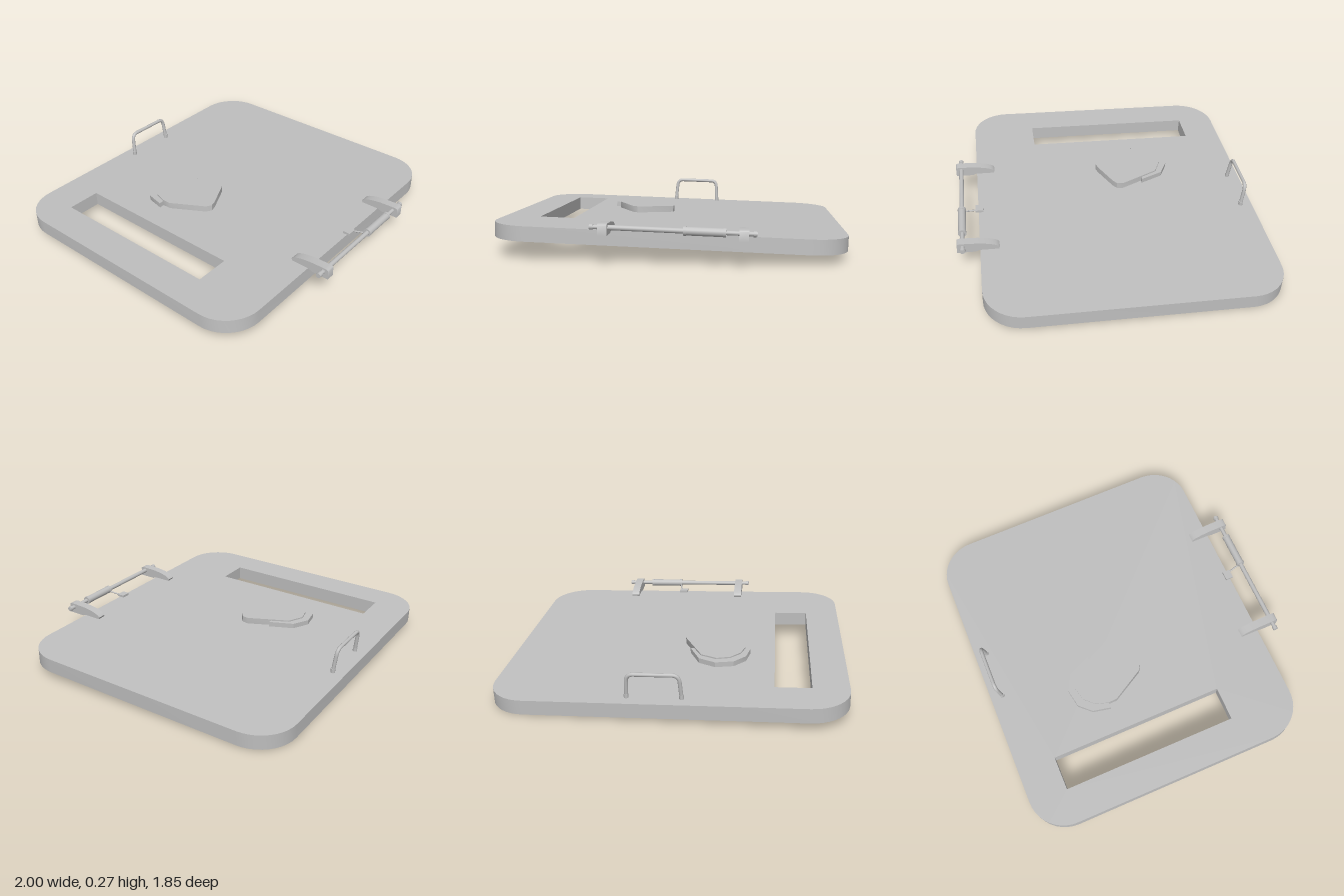
import * as THREE from 'three';
import { toCreasedNormals } from 'three/addons/utils/BufferGeometryUtils.js';

export function createModel() {
  const model = new THREE.Group();
  model.name = 'hatchCover';
  const grey = new THREE.MeshStandardMaterial({ color: 0xc0c0c0 });
  grey.name = 'grey metal';

  // Tilted frame: origin in the middle of the plate's top face
  const hatch = new THREE.Group();
  hatch.name = 'hatch';
  const ax = new THREE.Vector3(1, -0.0286, 0.026).normalize();
  const ay = new THREE.Vector3(0.0295, 1, -0.034).normalize();
  const az = new THREE.Vector3().crossVectors(ax, ay).normalize();
  ax.crossVectors(ay, az);
  hatch.quaternion.setFromRotationMatrix(new THREE.Matrix4().makeBasis(ax, ay, az));
  hatch.position.set(0, 0.142, -0.065);
  model.add(hatch);

  const add = (name, geometry, x = 0, y = 0, z = 0) => {
    const mesh = new THREE.Mesh(geometry, grey);
    mesh.name = name;
    mesh.position.set(x, y, z);
    hatch.add(mesh);
    return mesh;
  };
  // Flat slab: shape drawn in (x, -z), rising from y0 by h
  const slab = (shape, y0, h, segments = 4) => {
    const g = new THREE.ExtrudeGeometry(shape, { depth: h, bevelEnabled: false, curveSegments: segments });
    g.rotateX(-Math.PI / 2);
    g.translate(0, y0, 0);
    return toCreasedNormals(g, 0.6);
  };
  const polygon = (points) => new THREE.Shape(points.map(([x, z]) => new THREE.Vector2(x, -z)));
  // Plan positions turned into the tilted frame
  const local = (points) => points.map(([x, z]) => [x + (z + 0.065) * 0.026, z + 0.065 - x * 0.026]);

  // Plate with rounded corners and a long slot
  const W = 0.984, D = 0.845, R = 0.22;
  const outline = new THREE.Shape();
  outline.absarc(W - R, D - R, R, 0, Math.PI / 2);
  outline.absarc(R - W, D - R, R, Math.PI / 2, Math.PI);
  outline.absarc(R - W, R - D, R, Math.PI, Math.PI * 1.5);
  outline.absarc(W - R, R - D, R, Math.PI * 1.5, Math.PI * 2);
  outline.closePath();
  outline.holes.push(polygon([[-0.782, -0.615], [-0.58, -0.615], [-0.58, 0.45], [-0.782, 0.45]]));
  add('plate', slab(outline, -0.084, 0.084, 5));

  // Cover flap and the curved rim around its head
  add('coverFlap', slab(polygon(local([
    [-0.40, -0.267], [-0.374, -0.342], [-0.315, -0.40], [-0.235, -0.417], [-0.144, -0.369],
    [-0.037, -0.134], [-0.043, -0.096], [-0.07, -0.075], [-0.224, -0.005], [-0.262, 0.005],
    [-0.294, -0.016], [-0.40, -0.214]])), 0, 0.038));
  add('coverRim', slab(polygon(local([
    [-0.432, -0.267], [-0.406, -0.374], [-0.336, -0.444], [-0.23, -0.46], [-0.133, -0.406],
    [-0.075, -0.267], [-0.096, -0.267], [-0.144, -0.369], [-0.235, -0.417], [-0.315, -0.40],
    [-0.374, -0.342], [-0.395, -0.267]])), 0, 0.03));

  // Lifting handle: a bent bar with small feet
  const path = new THREE.CurvePath();
  const v = (x, y) => new THREE.Vector3(x, y, -0.772 - y * 0.1);
  const [l, r, top, bend] = [-0.093, 0.205, 0.143, 0.045];
  path.add(new THREE.LineCurve3(v(l, 0), v(l + 0.006, top - bend)));
  path.add(new THREE.QuadraticBezierCurve3(v(l + 0.006, top - bend), v(l + 0.008, top), v(l + bend, top)));
  path.add(new THREE.LineCurve3(v(l + bend, top), v(r - bend, top)));
  path.add(new THREE.QuadraticBezierCurve3(v(r - bend, top), v(r - 0.008, top), v(r - 0.006, top - bend)));
  path.add(new THREE.LineCurve3(v(r - 0.006, top - bend), v(r, 0)));
  add('handle', new THREE.TubeGeometry(path, 64, 0.011, 10));
  for (const x of [l, r]) add('handleFoot', new THREE.CylinderGeometry(0.013, 0.013, 0.024, 12), x, 0.012, -0.773);

  // Hinge brackets: side profile in (z, y), extruded across x
  const profile = new THREE.Shape();
  profile.moveTo(0.975, -0.01);
  profile.lineTo(0.975, 0.044);
  profile.quadraticCurveTo(0.973, 0.052, 0.95, 0.053);
  profile.lineTo(0.86, 0.05);
  profile.quadraticCurveTo(0.75, 0.04, 0.733, 0.012);
  profile.lineTo(0.738, 0);
  profile.lineTo(0.848, 0);
  profile.lineTo(0.87, -0.01);
  profile.closePath();
  for (const x of [-0.313, 0.417]) {
    const g = new THREE.ExtrudeGeometry(profile, { depth: 0.05, bevelEnabled: false, curveSegments: 6 });
    g.translate(0, 0, -0.025);
    g.rotateY(-Math.PI / 2);
    add('hingeBracket', toCreasedNormals(g, 0.5), x, 0, 0);
  }

  // Hinge rod, spring sleeve, collars and end caps
  const rod = (name, x0, x1, radius) => {
    const g = new THREE.CylinderGeometry(radius, radius, x1 - x0, 16);
    g.rotateZ(Math.PI / 2);
    add(name, g, (x0 + x1) / 2, 0.03, 0.943);
  };
  rod('hingeRod', -0.385, 0.485, 0.012);
  rod('rodShoulder', -0.34, 0.105, 0.014);
  rod('rodCap', -0.385, -0.365, 0.015);
  rod('rodCap', 0.465, 0.48, 0.016);
  rod('springSleeve', 0.105, 0.322, 0.023);
  rod('sleeveCollar', 0.105, 0.12, 0.025);
  rod('sleeveCollar', 0.31, 0.325, 0.025);

  // Spring leg and the small tab that holds it
  add('springTab', new THREE.BoxGeometry(0.055, 0.014, 0.046), 0.079, 0.007, 0.84);
  const leg = new THREE.LineCurve3(new THREE.Vector3(0.093, 0.008, 0.85), new THREE.Vector3(0.112, 0.02, 0.935));
  add('springLeg', new THREE.TubeGeometry(leg, 1, 0.005, 8));

  return model;
}
